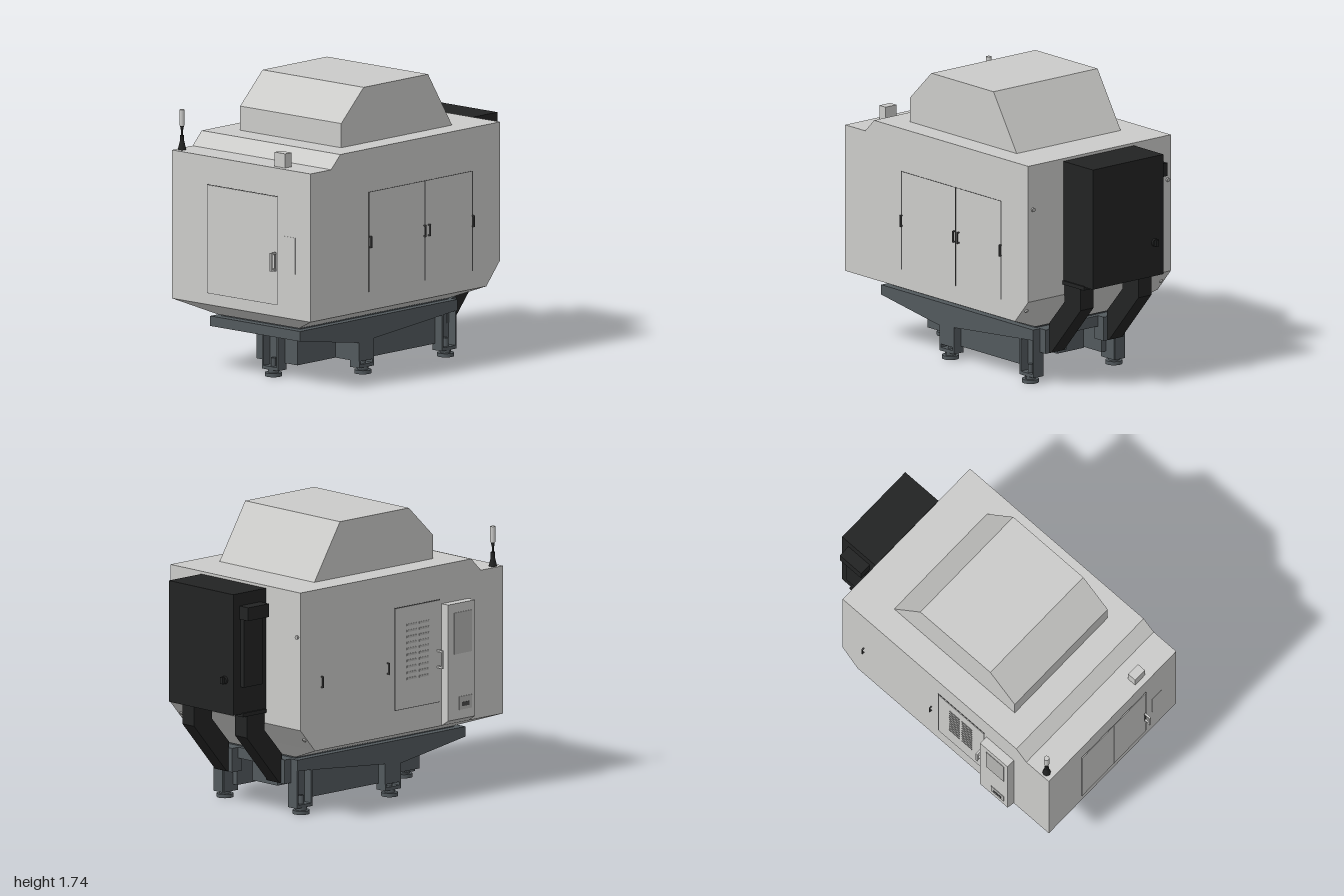
import * as THREE from 'three';
import { ConvexGeometry } from 'three/addons/geometries/ConvexGeometry.js';

const mat = (name, color) => Object.assign(new THREE.MeshStandardMaterial({ color }), { name });

export function createModel() {
  const shell = mat('light grey shell', 0xcbcbc9);
  const iron = mat('slate grey base', 0x52595d);
  const black = mat('black cabinet', 0x222323);
  const trim = mat('dark grey trim', 0x4a4a4a);
  const panel = mat('mid grey panel', 0xb4b4b2);

  const root = new THREE.Group();
  root.name = 'machiningCentre';

  const add = (name, geo, m, parent = root) => {
    const mesh = new THREE.Mesh(geo, m);
    mesh.name = name;
    parent.add(mesh);
    return mesh;
  };
  // Box given by its limits on each axis
  const box = (name, m, [x0, x1], [y0, y1], [z0, z1], parent = root) => {
    const geo = new THREE.BoxGeometry(x1 - x0, y1 - y0, z1 - z0);
    geo.translate((x0 + x1) / 2, (y0 + y1) / 2, (z0 + z1) / 2);
    return add(name, geo, m, parent);
  };
  // Side profile of (z, y) points, extruded from x0 to x1
  const prism = (name, m, x0, x1, profile) => {
    const shape = new THREE.Shape(profile.map(([z, y]) => new THREE.Vector2(z, y)));
    const geo = new THREE.ExtrudeGeometry(shape, { depth: x1 - x0, bevelEnabled: false });
    geo.rotateY(-Math.PI / 2).translate(x1, 0, 0);
    return add(name, geo, m);
  };
  const cyl = (name, m, rTop, rBottom, y0, y1, x, z, parent = root, sides = 20) => {
    const geo = new THREE.CylinderGeometry(rTop, rBottom, y1 - y0, sides);
    geo.translate(x, (y0 + y1) / 2, z);
    return add(name, geo, m, parent);
  };
  // Bracket handle standing out along local +z, turned by angle about y
  const handle = (name, m, x, y, z, angle, h, out, t) => {
    const g = new THREE.Group();
    g.name = name;
    box('grip', m, [-t / 2, t / 2], [-h / 2, h / 2], [out - t, out], g);
    for (const s of [-1, 1]) {
      const e = s * (h - t) / 2;
      box('post', m, [-t / 2, t / 2], [e - t / 2, e + t / 2], [0, out - t], g);
    }
    g.position.set(x, y, z);
    g.rotation.y = angle;
    root.add(g);
  };

  // Enclosure, roof hood and tapered pan
  prism('enclosure', shell, -0.54, 0.57, [
    [0.95, 0.43], [0.95, 1.32], [0.77, 1.32], [0.69, 1.40],
    [-0.70, 1.40], [-0.70, 0.57], [-0.58, 0.43],
  ]);
  prism('roofHood', shell, -0.38, 0.43, [
    [0.53, 1.39], [0.53, 1.545], [0.335, 1.735], [-0.225, 1.735], [-0.44, 1.39],
  ]);
  const pan = [];
  for (const [x0, x1, y, z0, z1] of [[-0.54, 0.57, 0.43, -0.58, 0.95], [-0.30, 0.35, 0.345, -0.51, 0.81]])
    for (const x of [x0, x1]) for (const z of [z0, z1]) pan.push(new THREE.Vector3(x, y, z));
  add('taperedPan', new ConvexGeometry(pan), shell);
  box('panNeck', iron, [-0.29, 0.34], [0.33, 0.35], [-0.50, 0.79]);

  // Front sliding doors with seams
  box('doorSeam', trim, [-0.257, 0.308], [0.498, 1.152], [0.949, 0.951]);
  box('rightFrontDoor', shell, [-0.253, 0.0235], [0.502, 1.148], [0.949, 0.954]);
  box('leftFrontDoor', shell, [0.0265, 0.304], [0.502, 1.148], [0.949, 0.954]);
  handle('frontDoorHandle', shell, 0.293, 0.76, 0.952, 0, 0.11, 0.046, 0.012);
  box('handlePlate', trim, [0.284, 0.302], [0.70, 0.815], [0.95, 0.956]);
  box('frontHatch', shell, [0.36, 0.45], [0.70, 0.92], [0.949, 0.952]);

  // Side door seams and pulls on the left
  for (const z of [0.44, -0.045, -0.457])
    box('sideSeam', trim, [0.569, 0.572], [0.54, 1.14], [z - 0.003, z + 0.003]);
  box('sideTopSeam', trim, [0.569, 0.572], [1.137, 1.14], [-0.457, 0.44]);
  for (const z of [0.435, -0.038, -0.077, -0.457])
    handle('sidePull', trim, 0.57, 0.84, z, Math.PI / 2, 0.07, 0.018, 0.007);

  // Service door on the right, with louvres and pulls
  box('serviceDoorSeam', trim, [-0.542, -0.538], [0.575, 1.195], [0.065, 0.435]);
  box('serviceDoor', shell, [-0.545, -0.538], [0.58, 1.19], [0.07, 0.43]);
  for (let i = 0; i < 10; i++)
    for (const z of [0.20, 0.30])
      box('louvre', panel, [-0.548, -0.544], [0.75 + i * 0.036, 0.762 + i * 0.036], [z - 0.04, z + 0.04]);
  for (const z of [0.01, -0.53])
    handle('sidePull', trim, -0.54, 0.84, z, -Math.PI / 2, 0.07, 0.018, 0.007);
  handle('serviceDoorHandle', shell, -0.54, 0.84, 0.415, -Math.PI / 2, 0.11, 0.048, 0.012);

  // Control console on the right
  const console_ = new THREE.Shape([[-0.53, 0.43], [-0.53, 1.165], [-0.595, 1.165], [-0.595, 0.465], [-0.54, 0.43]]
    .map(([x, y]) => new THREE.Vector2(x, y)));
  const consoleGeo = new THREE.ExtrudeGeometry(console_, { depth: 0.22, bevelEnabled: false });
  add('controlConsole', consoleGeo.translate(0, 0, 0.45), shell);
  box('consoleScreen', panel, [-0.598, -0.594], [0.86, 1.11], [0.50, 0.64]);
  box('consoleSlotFrame', panel, [-0.598, -0.594], [0.52, 0.60], [0.54, 0.64]);
  box('consoleSlot', trim, [-0.600, -0.597], [0.54, 0.565], [0.56, 0.62]);

  // Signal tower and small box on the front ledge
  cyl('towerFoot', black, 0.012, 0.025, 1.32, 1.375, -0.505, 0.90, root, 8);
  cyl('towerFlange', black, 0.013, 0.013, 1.375, 1.405, -0.505, 0.90);
  cyl('towerStem', black, 0.006, 0.006, 1.40, 1.47, -0.505, 0.90);
  cyl('towerCollar', black, 0.012, 0.008, 1.44, 1.465, -0.505, 0.90);
  cyl('towerLamp', shell, 0.016, 0.016, 1.465, 1.56, -0.505, 0.90);
  box('ledgeBox', shell, [0.25, 0.335], [1.31, 1.405], [0.86, 0.915]);

  // Rear electrical cabinet
  box('rearCabinet', black, [-0.25, 0.30], [0.655, 1.385], [-0.97, -0.705]);
  box('cabinetSideBox', black, [-0.325, -0.25], [1.23, 1.31], [-0.92, -0.75]);
  box('cabinetCooler', black, [-0.28, -0.25], [0.82, 1.23], [-0.91, -0.76]);
  const knob = cyl('cabinetKnob', black, 0.024, 0.024, -0.008, 0.008, 0, 0);
  knob.rotation.x = Math.PI / 2;
  knob.position.set(-0.18, 0.86, -0.977);
  box('knobLever', black, [-0.19, -0.17], [0.84, 0.88], [-1.0, -0.98]);

  // Bent cable ducts from the cabinet to the base, and their brackets
  for (const x of [-0.25, 0.20]) {
    prism('cableDuct', black, x, x + 0.10, [
      [-0.715, 0.66], [-0.715, 0.53], [-0.575, 0.37], [-0.575, 0.195],
      [-0.595, 0.195], [-0.86, 0.505], [-0.86, 0.66],
    ]);
    box('ductFlange', black, [x - 0.01, x + 0.11], [0.637, 0.66], [-0.90, -0.71]);
    box('ductBracket', iron, [x - 0.03, x + 0.13], [0.19, 0.335], [-0.58, -0.50]);
  }

  // Rear fixing bolts
  for (const x of [-0.515, 0.535]) {
    const bolt = cyl('rearBolt', panel, 0.012, 0.012, -0.006, 0.006, 0, 0, root, 12);
    bolt.rotation.x = Math.PI / 2;
    bolt.position.set(x, 1.13, -0.705);
    const low = bolt.clone();
    low.rotation.x = -Math.PI / 2 - 0.7;
    low.position.set(x, 0.50, -0.643);
    root.add(low);
  }

  // Cast base: deck with sloping front tray, inset walls, front spine
  prism('baseDeck', iron, -0.335, 0.385, [
    [0.84, 0.275], [0.84, 0.335], [-0.53, 0.335], [-0.53, 0.27], [0.30, 0.195], [0.33, 0.195],
  ]);
  for (const x of [-0.27, 0.27])
    box('baseSideWall', iron, [x - 0.005, x + 0.055], [0.08, 0.30], [-0.45, 0.30]);
  box('baseCrossWall', iron, [-0.33, 0.38], [0.08, 0.26], [0.19, 0.32]);
  box('baseFloor', iron, [-0.25, 0.30], [0.08, 0.12], [0.02, 0.25]);
  box('baseCentreRib', iron, [-0.08, 0.13], [0.13, 0.29], [-0.45, 0.10]);
  box('frontSpine', iron, [-0.14, 0.19], [0.08, 0.245], [0.30, 0.65]);

  // Levelling legs: open niche facing local +z, jack bolt and foot pad
  const leg = (name, x, z, angle, top) => {
    const g = new THREE.Group();
    g.name = name;
    for (const s of [-0.058, 0.058])
      box('cheek', iron, [s - 0.006, s + 0.006], [0.04, top], [-0.04, 0.035], g);
    box('backWall', iron, [-0.058, 0.058], [0.04, top], [-0.045, -0.02], g);
    box('footPlate', iron, [-0.06, 0.06], [0.04, 0.06], [-0.04, 0.035], g);
    cyl('jackBolt', iron, 0.016, 0.016, 0.02, 0.11, 0, 0.005, g, 12);
    cyl('lockNut', iron, 0.034, 0.034, 0.022, 0.04, 0, 0.005, g, 6);
    cyl('footPad', iron, 0.05, 0.05, 0, 0.022, 0, 0.005, g, 24);
    g.position.set(x, 0, z);
    g.rotation.y = angle;
    root.add(g);
  };
  leg('frontLeg', 0.025, 0.675, 0, 0.25);
  for (const z of [0.255, -0.465]) {
    leg('leftLeg', 0.345, z, Math.PI / 2, 0.30);
    leg('rightLeg', -0.295, z, -Math.PI / 2, 0.30);
  }
  return root;
}
